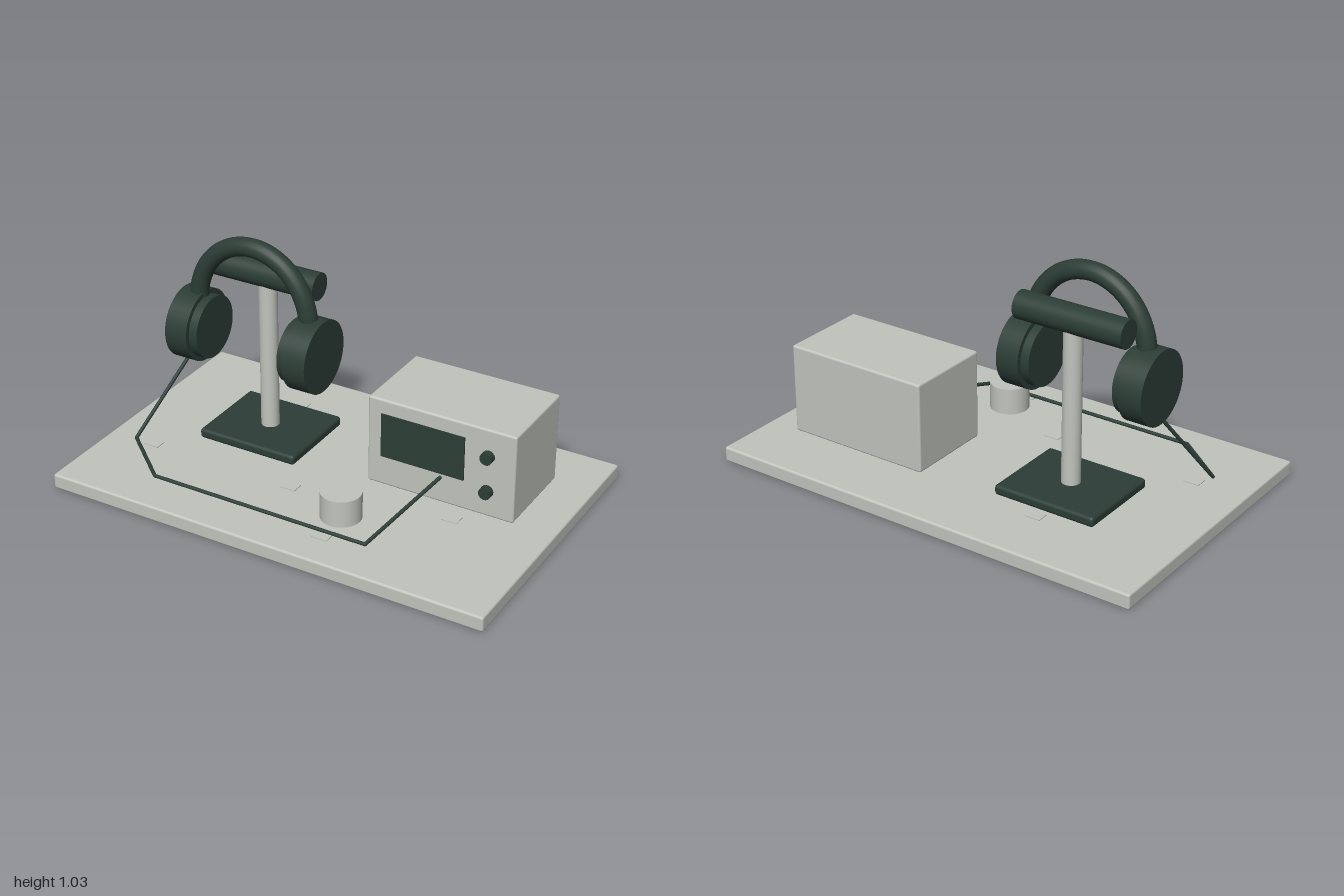
import * as THREE from 'three';
import { RoundedBoxGeometry } from 'three/addons/geometries/RoundedBoxGeometry.js';

export function createModel() {
  const model = new THREE.Group();
  model.name = 'listeningStation';
  const pale = new THREE.MeshStandardMaterial({ name: 'pale grey', color: 0xc1c4bd });
  const dark = new THREE.MeshStandardMaterial({ name: 'dark green', color: 0x2c3d36 });

  const add = (name, geometry, material, x = 0, y = 0, z = 0, parent = model) => {
    const mesh = new THREE.Mesh(geometry, material);
    mesh.name = name;
    mesh.position.set(x, y, z);
    parent.add(mesh);
    return mesh;
  };
  const group = (name) => {
    const g = new THREE.Group();
    g.name = name;
    model.add(g);
    return g;
  };
  const rounded = (w, h, d, r) => new RoundedBoxGeometry(w, h, d, 3, r);
  const cylinder = (r, length, sides = 48) => new THREE.CylinderGeometry(r, r, length, sides);

  // Board
  add('board', rounded(2, 0.067, 1.266, 0.01), pale, 0, 0.0335, 0);

  // Headphone stand
  const stand = group('stand');
  add('standBase', rounded(0.47, 0.045, 0.4, 0.015), dark, -0.4, 0.0945, -0.118, stand);
  add('standPost', cylinder(0.04, 0.68), pale, -0.4, 0.45, -0.115, stand);
  add('standBar', cylinder(0.06, 0.5).rotateZ(Math.PI / 2), dark, -0.4, 0.83, -0.115, stand);

  // Headphones: arched band and a pair of cups with inner cushions
  const phones = group('headphones');
  const arch = [];
  for (let i = 0; i <= 24; i++) {
    const a = (Math.PI * i) / 24;
    arch.push(new THREE.Vector3(-0.4 + 0.266 * Math.cos(a), 0.7 + 0.292 * Math.sin(a), 0));
  }
  add('headband', new THREE.TubeGeometry(new THREE.CatmullRomCurve3(arch), 64, 0.04, 20), dark, 0, 0, 0, phones);
  for (const [side, s] of [['left', 1], ['right', -1]]) {
    add(side + 'EarCup', cylinder(0.158, 0.105, 64).rotateZ(Math.PI / 2), dark, -0.4 + s * 0.2855, 0.582, 0, phones);
    add(side + 'Cushion', cylinder(0.137, 0.06, 64).rotateZ(Math.PI / 2), dark, -0.4 + s * 0.225, 0.582, 0, phones);
  }

  // Amplifier with display and two knobs
  const amp = group('amplifier');
  add('ampCase', rounded(0.664, 0.398, 0.402, 0.01), pale, 0.497, 0.285, -0.169, amp);
  add('display', new THREE.BoxGeometry(0.378, 0.198, 0.008), dark, 0.417, 0.321, 0.034, amp);
  for (const y of [0.365, 0.205]) {
    add('knob', cylinder(0.027, 0.035, 32).rotateX(Math.PI / 2), dark, 0.711, y, 0.043, amp);
  }

  // Small round pot
  add('pot', cylinder(0.086, 0.118), pale, 0.215, 0.151, 0.333);

  // Cable in straight runs with round joints
  const cable = group('cable');
  const route = [
    [-0.7, 0.44, 0.04], [-0.836, 0.105, 0.265], [-0.6, 0.095, 0.465],
    [0.4, 0.095, 0.465], [0.5, 0.202, 0.03],
  ].map((p) => new THREE.Vector3(...p));
  for (let i = 0; i < route.length - 1; i++) {
    const run = new THREE.LineCurve3(route[i], route[i + 1]);
    add('cableRun', new THREE.TubeGeometry(run, 1, 0.008, 10), dark, 0, 0, 0, cable);
    add('cableJoint', new THREE.SphereGeometry(0.008, 10, 8), dark, ...route[i + 1].toArray(), cable);
  }

  // Blank marker plates above the board
  for (const [x, z] of [[-0.77, 0.23], [-0.087, 0.23], [0.213, 0.48], [0.597, 0.111], [-0.403, -0.37]]) {
    add('marker', new THREE.BoxGeometry(0.07, 0.004, 0.052), pale, x, 0.081, z);
  }
  return model;
}
